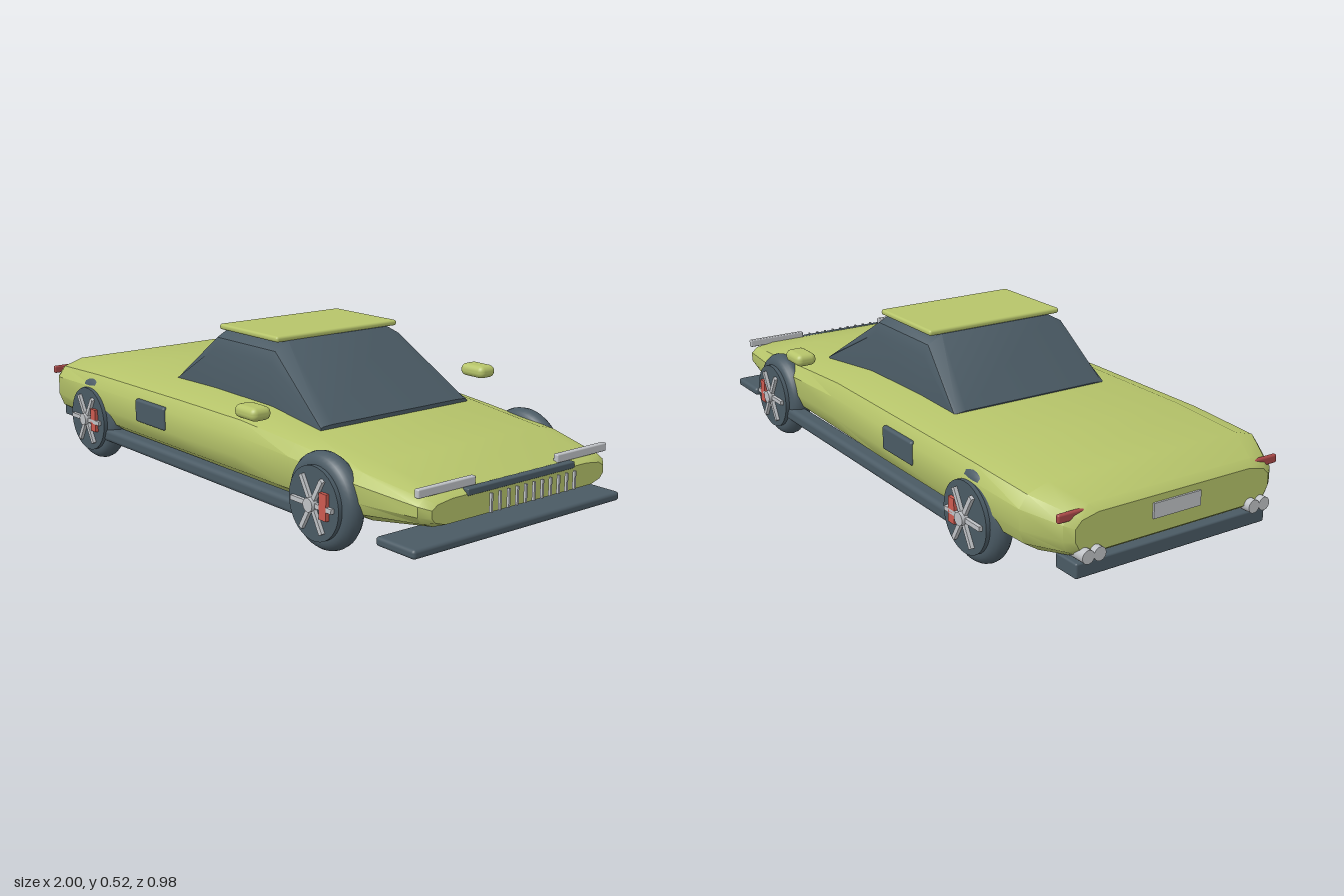
import * as THREE from 'three';
import { toCreasedNormals } from 'three/addons/utils/BufferGeometryUtils.js';
import { RoundedBoxGeometry } from 'three/addons/geometries/RoundedBoxGeometry.js';

const mat = (name, color) => {
  const m = new THREE.MeshStandardMaterial({ color });
  m.name = name;
  return m;
};

// Skins half cross-sections (x plus [z, y] points from bottom to top), mirrored in z, with closed ends
function loft(sections, crease) {
  const rings = sections.map(({ x, half }) => [
    ...half.map(([z, y]) => [x, y, z]),
    ...half.slice().reverse().map(([z, y]) => [x, y, -z]),
  ]);
  const pos = [];
  const tri = (a, b, c) => pos.push(...a, ...b, ...c);
  const n = rings[0].length;
  for (let i = 0; i < rings.length - 1; i++) {
    for (let j = 0; j < n; j++) {
      const k = (j + 1) % n;
      const a = rings[i][j], b = rings[i + 1][j], c = rings[i + 1][k], d = rings[i][k];
      tri(a, b, d);
      tri(b, c, d);
    }
  }
  const first = rings[0], last = rings[rings.length - 1];
  for (let k = 1; k < n - 1; k++) {
    tri(first[0], first[k], first[k + 1]);
    tri(last[0], last[k + 1], last[k]);
  }
  const g = new THREE.BufferGeometry();
  g.setAttribute('position', new THREE.Float32BufferAttribute(pos, 3));
  return toCreasedNormals(g, crease);
}

export function createModel() {
  const paint = mat('limePaint', 0xb6c46a);
  const dark = mat('darkSlate', 0x4a5a64);
  const silver = mat('silver', 0xbfc2c6);
  const red = mat('caliperRed', 0xcc5a50);
  const tailRed = mat('tailLightRed', 0xa84848);

  const car = new THREE.Group();
  car.name = 'car';
  const add = (name, geo, material, x = 0, y = 0, z = 0, parent = car) => {
    const m = new THREE.Mesh(geo, material);
    m.name = name;
    m.position.set(x, y, z);
    parent.add(m);
    return m;
  };
  // Box given by its limits on each axis, rounded by r when r > 0
  const box = (name, material, [x0, x1], [y0, y1], [z0, z1], r = 0) => {
    const s = [x1 - x0, y1 - y0, z1 - z0];
    const g = r ? new RoundedBoxGeometry(...s, 3, r) : new THREE.BoxGeometry(...s);
    return add(name, g, material, (x0 + x1) / 2, (y0 + y1) / 2, (z0 + z1) / 2);
  };

  // Body shell: x, half width, bottom, top
  const profile = [[0.85, 0], [0.96, 0.16], [1, 0.38], [1, 0.7], [0.94, 0.89], [0.78, 1]];
  const stations = [
    [-0.98, 0.34, 0.14, 0.25], [-0.96, 0.365, 0.125, 0.27], [-0.85, 0.425, 0.115, 0.303],
    [-0.6, 0.432, 0.11, 0.315], [-0.1, 0.43, 0.108, 0.318], [0.2, 0.42, 0.105, 0.313],
    [0.45, 0.412, 0.105, 0.292], [0.73, 0.402, 0.107, 0.265], [0.93, 0.367, 0.135, 0.227],
    [0.955, 0.34, 0.143, 0.21],
  ];
  const bodySections = stations.map(([x, w, y0, y1]) => ({
    x, half: profile.map(([u, v]) => [u * w, y0 + v * (y1 - y0)]),
  }));
  add('body', loft(bodySections, 0.6), paint);

  // Glass cabin and roof panel
  add('cabinGlass', loft([
    { x: -0.315, half: [[0.28, 0.3], [0.28, 0.312], [0.27, 0.317], [0.24, 0.32]] },
    { x: -0.12, half: [[0.275, 0.3], [0.265, 0.44], [0.25, 0.475], [0.2, 0.502]] },
    { x: 0.18, half: [[0.275, 0.3], [0.265, 0.44], [0.25, 0.475], [0.2, 0.502]] },
    { x: 0.45, half: [[0.295, 0.292], [0.294, 0.298], [0.285, 0.302], [0.25, 0.304]] },
  ], 0.6), dark);
  box('roof', paint, [-0.12, 0.18], [0.5, 0.518], [-0.243, 0.243], 0.008);

  // Front splitter, rear diffuser, grille slot and upright grille fins
  box('frontSplitter', dark, [0.815, 0.965], [0.073, 0.1], [-0.41, 0.41], 0.01);
  box('rearDiffuser', dark, [-0.98, -0.89], [0.073, 0.118], [-0.335, 0.335], 0.006);
  box('grilleSlot', dark, [0.935, 0.958], [0.205, 0.225], [-0.212, 0.212], 0.004);
  for (let i = -5; i <= 5; i++) {
    const z = i * 0.033;
    box('grilleFin', silver, [0.992, 1], [0.162, 0.215], [z - 0.003, z + 0.003]);
  }
  box('rearPlate', silver, [-0.986, -0.978], [0.185, 0.23], [-0.083, 0.083]);

  // Parts on both sides
  const tyre = new THREE.TorusGeometry(0.107, 0.034, 16, 48);
  const drum = new THREE.CylinderGeometry(0.107, 0.107, 0.094, 40).rotateX(Math.PI / 2);
  const hub = new THREE.CylinderGeometry(0.02, 0.02, 0.022, 20).rotateX(Math.PI / 2);
  const spoke = new THREE.BoxGeometry(0.085, 0.014, 0.012).translate(0.0455, 0, 0);
  const caliper = new THREE.BoxGeometry(0.03, 0.076, 0.014);
  const pipe = new THREE.CylinderGeometry(0.02, 0.02, 0.06, 20).rotateZ(Math.PI / 2);

  for (const s of [1, -1]) {
    const span = (a, b) => (s > 0 ? [a, b] : [-b, -a]);
    box('sideSkirt', dark, [-0.55, 0.55], [0.08, 0.125], span(0.38, 0.435), 0.015);
    box('sideIntake', dark, [-0.325, -0.155], [0.19, 0.265], span(0.415, 0.437), 0.008);
    box('mirror', paint, [0.29, 0.39], [0.332, 0.372], span(0.42, 0.488), 0.018);
    box('headlight', silver, [0.92, 0.937], [0.223, 0.248], span(0.162, 0.372), 0.004);
    box('tailLight', tailRed, [-0.966, -0.952], [0.236, 0.262], span(0.165, 0.385), 0.006);
    for (const z of [0.273, 0.311]) add('exhaust', pipe, silver, -0.97, 0.14, s * z);

    // Wheels: tyre, drum, six spokes, hub and brake caliper
    for (const [name, x] of [['frontWheel', 0.6], ['rearWheel', -0.62]]) {
      const wheel = new THREE.Group();
      wheel.name = name;
      wheel.position.set(x, 0.142, s * 0.397);
      car.add(wheel);
      add('tyre', tyre, dark, 0, 0, 0, wheel);
      add('wheelDrum', drum, dark, 0, 0, 0, wheel);
      add('hub', hub, silver, 0, 0, s * 0.057, wheel);
      add('caliper', caliper, red, 0.052, 0.005, s * 0.051, wheel);
      for (let i = 0; i < 6; i++) {
        add('spoke', spoke, silver, 0, 0, s * 0.052, wheel).rotation.z = i * Math.PI / 3;
      }
    }
  }
  return car;
}
